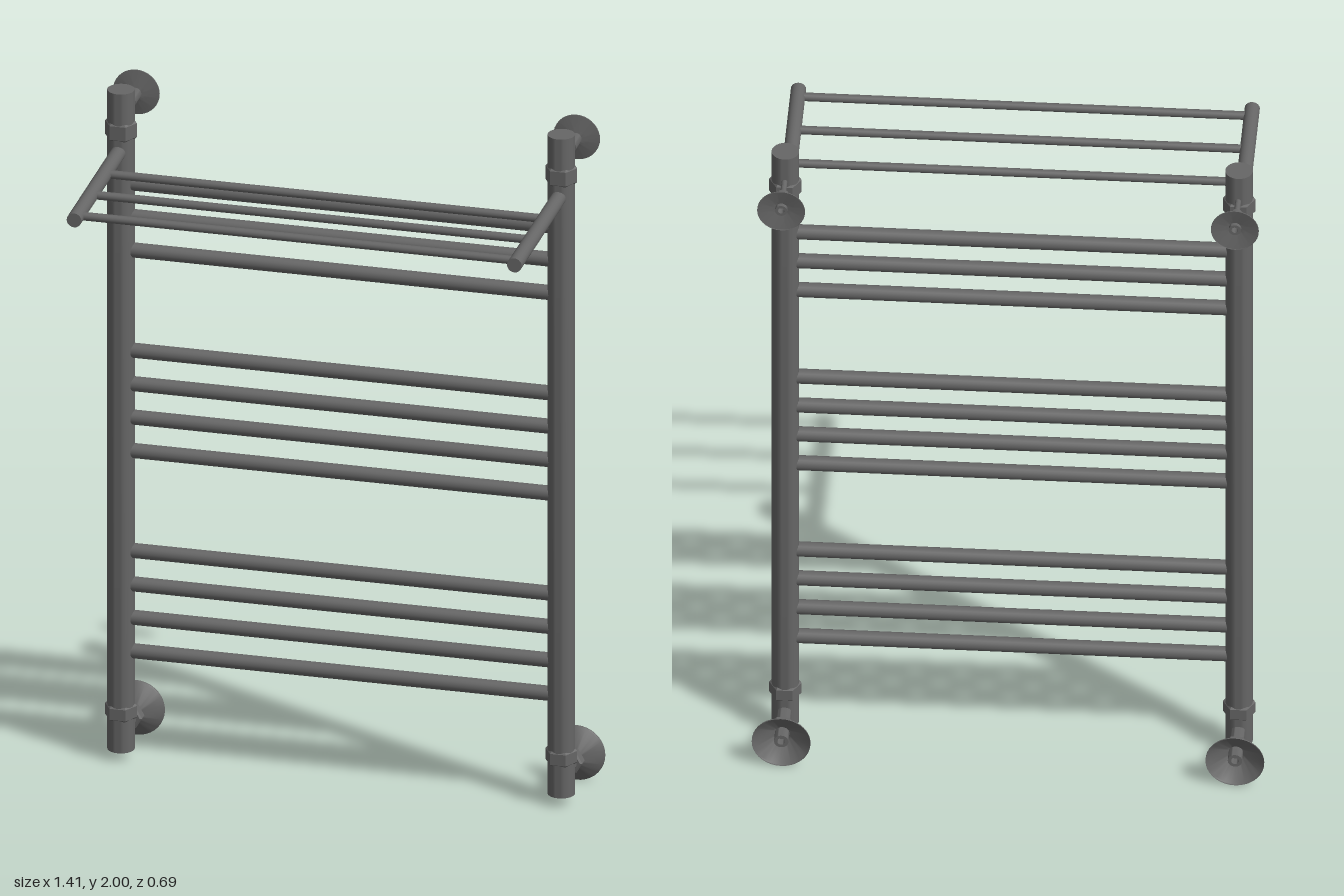
import * as THREE from 'three';
import { toCreasedNormals } from 'three/addons/utils/BufferGeometryUtils.js';

const POST_X = 0.625, POST_Z = -0.172, SHELF_Y = 1.822;
const material = new THREE.MeshStandardMaterial({ color: 0x666666 });
const thinMaterial = new THREE.MeshStandardMaterial({ color: 0x666666, side: THREE.DoubleSide });

function addMesh(parent, name, geometry, mat = material) {
  const mesh = new THREE.Mesh(geometry, mat);
  mesh.name = name;
  parent.add(mesh);
  return mesh;
}

// Turned part with crisp edges; profile is [radius, height] pairs
function turned(profile, segments = 32) {
  const points = profile.map(([r, h]) => new THREE.Vector2(r, h));
  return toCreasedNormals(new THREE.LatheGeometry(points, segments), 0.6);
}

// Hexagonal nut along y with chamfered ends
function nut(radius, from, to) {
  const c = 0.005;
  return turned([
    [0, from], [radius - c, from], [radius, from + c],
    [radius, to - c], [radius - c, to], [0, to],
  ], 6).rotateY(Math.PI / 6);
}

// Horizontal bar along x
function bar(radius, length) {
  return new THREE.CylinderGeometry(radius, radius, length, 20).rotateZ(Math.PI / 2);
}

// Wall bracket: runs backwards (-z) from the post to a hollow conical flange
function wallMount(name, y, stem, flange, nutSpec) {
  const group = new THREE.Group();
  group.name = name;
  addMesh(group, 'stem', turned(stem).rotateX(-Math.PI / 2));
  addMesh(group, 'flange', turned(flange, 36).rotateX(-Math.PI / 2), thinMaterial);
  if (nutSpec) addMesh(group, 'stemNut', nut(...nutSpec).rotateX(-Math.PI / 2));
  group.position.set(0, y, POST_Z);
  return group;
}

function side(name, x) {
  const group = new THREE.Group();
  group.name = name;
  group.position.x = x;

  // Upright tube
  addMesh(group, 'post', turned([
    [0, 0.029], [0.038, 0.029], [0.038, 2], [0, 2],
  ])).position.z = POST_Z;

  // Coupling nuts on the upright
  addMesh(group, 'lowerNut', nut(0.045, 0.122, 0.165)).position.z = POST_Z;
  addMesh(group, 'upperNut', nut(0.045, 1.857, 1.908)).position.z = POST_Z;

  // Lower valve connection with nut and wide flange
  group.add(wallMount('lowerMount', 0.081,
    [[0, 0], [0.02, 0], [0.02, 0.165], [0.011, 0.165], [0.011, 0.14], [0, 0.14]],
    [[0.02, 0.126], [0.028, 0.131], [0.078, 0.163], [0.081, 0.166], [0.081, 0.17]],
    [0.035, 0.09, 0.126]));

  // Upper wall bracket: thin pin in a sleeve and a smaller, flatter flange
  group.add(wallMount('upperMount', 1.922,
    [[0, 0], [0.008, 0], [0.008, 0.094], [0.017, 0.094], [0.017, 0.168],
      [0.009, 0.168], [0.009, 0.145], [0, 0.145]],
    [[0.017, 0.157], [0.03, 0.16], [0.066, 0.167], [0.066, 0.17]]));

  // Shelf arm reaching forward from the upright
  const armLength = 0.343 - POST_Z;
  const arm = addMesh(group, 'shelfArm',
    new THREE.CylinderGeometry(0.021, 0.021, armLength, 20).rotateX(Math.PI / 2));
  arm.position.set(0, SHELF_Y, POST_Z + armLength / 2);
  return group;
}

export function createModel() {
  const model = new THREE.Group();
  model.name = 'towelRail';
  model.add(side('leftSide', POST_X), side('rightSide', -POST_X));

  // Heating rungs: two groups of four and a top group of three
  const rungs = new THREE.Group();
  rungs.name = 'rungs';
  [[0.324, 4], [0.923, 4], [1.523, 3]].forEach(([start, count]) => {
    for (let i = 0; i < count; i++) {
      addMesh(rungs, 'rung', bar(0.021, 2 * POST_X)).position.set(0, start + i * 0.1, POST_Z);
    }
  });
  model.add(rungs);

  // Thin shelf bars between the arms
  for (let i = 0; i < 3; i++) {
    addMesh(model, 'shelfBar', bar(0.012, 2 * POST_X)).position.set(0, SHELF_Y, 0.008 + i * 0.15);
  }
  return model;
}
